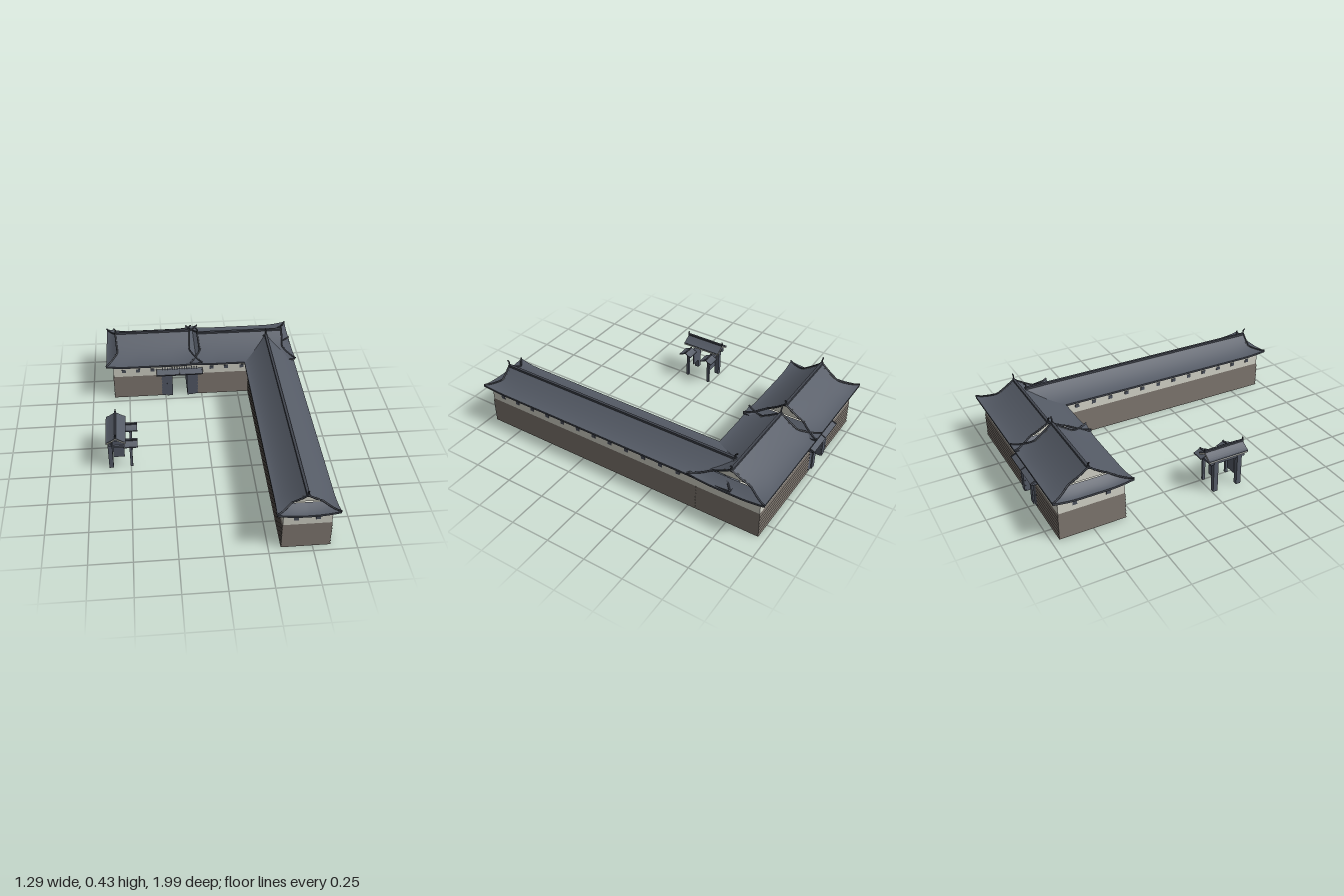
import * as THREE from 'three';

const mat = (name, color) => {
  const m = new THREE.MeshStandardMaterial({ color, side: THREE.DoubleSide });
  m.name = name;
  return m;
};

export function createModel() {
  const root = new THREE.Group();
  root.name = 'castleGatehouse';
  const tile = mat('roofTile', 0x555b66);
  const ridgeMat = mat('ridgeTile', 0x41454e);
  const plaster = mat('plaster', 0xd6d6cb);
  const board = mat('wallBoards', 0x777069);
  const timber = mat('darkTimber', 0x565c69);
  const dark = mat('windowDark', 0x4c515c);

  const add = (parent, name, geo, m, x = 0, y = 0, z = 0) => {
    const mesh = new THREE.Mesh(geo, m);
    mesh.name = name;
    mesh.position.set(x, y, z);
    parent.add(mesh);
    return mesh;
  };
  // Box given by its extents
  const box = (parent, name, m, x0, x1, y0, y1, z0, z1) =>
    add(parent, name, new THREE.BoxGeometry(x1 - x0, y1 - y0, z1 - z0), m,
      (x0 + x1) / 2, (y0 + y1) / 2, (z0 + z1) / 2);
  const group = (name, parent = root) => {
    const g = new THREE.Group();
    g.name = name;
    parent.add(g);
    return g;
  };
  // Surface from a rule f(i, j) -> [x, y, z]
  const grid = (f, nu, nv, flat = false) => {
    const pos = [], idx = [];
    for (let j = 0; j <= nv; j++) for (let i = 0; i <= nu; i++) pos.push(...f(i, j));
    for (let j = 0; j < nv; j++) for (let i = 0; i < nu; i++) {
      const a = j * (nu + 1) + i, b = a + 1, c = a + nu + 1, d = c + 1;
      idx.push(a, b, d, a, d, c);
    }
    let g = new THREE.BufferGeometry();
    g.setAttribute('position', new THREE.Float32BufferAttribute(pos, 3));
    g.setIndex(idx);
    if (flat) g = g.toNonIndexed();
    g.computeVertexNormals();
    return g;
  };
  const tube = (pts, r, n = 14) => new THREE.TubeGeometry(
    new THREE.CatmullRomCurve3(pts.map(p => new THREE.Vector3(...p))), n, r, 6);

  // Hip-and-gable roof, ridge along local x, centred on the origin
  const hipGableRoof = (name, { Le, Lr, W, ridge, eave, finial }) => {
    const g = group(name), tg = 0.52, thick = 0.013;
    const L = t => t < tg ? Lr + 0.01 * (1 - t / tg) : Lr + (Le - Lr) * (t - tg) / (1 - tg);
    const h = t => eave + (ridge - eave) * Math.pow(1 - t, 1.5);
    const near = d => Math.pow(Math.max(0, 1 - d / 0.17), 2);
    // s runs along the slope from end to end, t from ridge to eave
    const slope = (s, t, side) => {
      const c = near(L(t) * (1 - Math.abs(s))) * Math.pow(t, 4);
      return [s * L(t), h(t) + 0.017 * c, side * (W * t + 0.007 * (c - 1) * t)];
    };
    const skirt = (u, t, end) => {
      const c = near(W * t * (1 - Math.abs(u))) * Math.pow(t, 4);
      const corner = slope(1, t, 1);
      return [end * L(t), h(t) + 0.017 * c, u * corner[2]];
    };
    const drop = (p, d) => [p[0], p[1] - d, p[2]];
    const N = 32, M = 12;
    for (const k of [1, -1]) {
      add(g, 'roofSlope', grid((i, j) => slope(2 * i / N - 1, j / M, k), N, M), tile);
      add(g, 'roofSkirt', grid((i, j) => skirt(2 * i / N - 1, tg + (1 - tg) * j / 6, k), N, 6), tile);
      add(g, 'slopeSoffit', grid((i, j) => drop(slope(2 * i / N - 1, 0.7 + 0.3 * j / 4, k), thick), N, 4), plaster);
      add(g, 'skirtSoffit', grid((i, j) => drop(skirt(2 * i / N - 1, 0.7 + 0.3 * j / 4, k), thick), N, 4), plaster);
      add(g, 'slopeFascia', grid((i, j) => drop(slope(2 * i / N - 1, 1, k), j * thick), N, 1), ridgeMat);
      add(g, 'skirtFascia', grid((i, j) => drop(skirt(2 * i / N - 1, 1, k), j * thick), N, 1), ridgeMat);
      // Plastered gable, set back under the verge
      add(g, 'gable', grid((i, j) => {
        const u = 2 * i / 16 - 1, base = h(tg);
        return [k * (Lr - 0.008), base + (h(Math.abs(u) * tg) - base) * j, u * tg * W];
      }, 16, 1), plaster);
      for (const q of [1, -1]) {
        const path = [];
        for (let i = 0; i <= 10; i++) path.push(drop(slope(k, i / 10, q), -0.002));
        add(g, 'hipRidge', tube(path, 0.0055, 20), ridgeMat);
      }
      // Curled ridge-end ornament
      const x = Lr + 0.008;
      add(g, 'ridgeFinial', tube([[k * (x - 0.012), ridge, 0], [k * x, ridge + finial * 0.35, 0],
        [k * (x - 0.001), ridge + finial * 0.65, 0], [k * (x + 0.013), ridge + finial, 0]], 0.0045), ridgeMat);
    }
    box(g, 'mainRidge', ridgeMat, -Lr - 0.012, Lr + 0.012, ridge - 0.01, ridge + 0.008, -0.008, 0.008);
    return g;
  };
  hipGableRoof('leftBlockRoof', { Le: 0.322, Lr: 0.245, W: 0.24, ridge: 0.394, eave: 0.266, finial: 0.037 })
    .position.set(-0.322, 0, -0.75);
  hipGableRoof('rightBlockRoof', { Le: 0.358, Lr: 0.285, W: 0.24, ridge: 0.367, eave: 0.264, finial: 0.037 })
    .position.set(0.28, 0, -0.75);
  const wingRoof = hipGableRoof('wingRoof', { Le: 0.885, Lr: 0.81, W: 0.176, ridge: 0.35, eave: 0.263, finial: 0.037 });
  wingRoof.rotation.y = Math.PI / 2;
  wingRoof.position.set(0.46, 0, 0.105);

  // Lapped boards around a rectangle, open below, with a board ceiling
  const walls = group('walls');
  const lapped = (name, x0, x1, z0, z1) => {
    add(walls, name, grid((i, j) => {
      const y = 0.168 * Math.floor((j + 1) / 2) / 7, o = j % 2 ? 0 : 0.004;
      const sx = [-1, 1, 1, -1][i % 4], sz = [1, 1, -1, -1][i % 4];
      return [(sx < 0 ? x0 : x1) + sx * o, y, (sz < 0 ? z0 : z1) + sz * o];
    }, 4, 13, true), board);
    box(walls, name + 'Ceiling', board, x0 + 0.001, x1 - 0.001, 0.16, 0.167, z0 + 0.001, z1 - 0.001);
  };
  lapped('leftBoards', -0.6, -0.275, -0.95, -0.55);
  lapped('rightBoards', -0.025, 0.6, -0.95, -0.55);
  lapped('wingBoards', 0.325, 0.6, -0.545, 0.955);
  box(walls, 'mainPlaster', plaster, -0.6, 0.6, 0.168, 0.261, -0.95, -0.55);
  box(walls, 'wingPlaster', plaster, 0.325, 0.6, 0.168, 0.259, -0.6, 0.955);

  // Small square windows
  const windows = group('windows');
  const win = (x, z, alongX) => add(windows, 'window',
    new THREE.BoxGeometry(alongX ? 0.027 : 0.006, 0.023, alongX ? 0.006 : 0.027), dark, x, 0.212, z);
  for (const x of [-0.53, -0.434, -0.335, 0.07, 0.17, 0.275]) win(x, -0.55, true);
  for (const x of [-0.53, -0.434, -0.335, 0.07, 0.17, 0.275, 0.395, 0.52]) win(x, -0.95, true);
  for (const x of [0.397, 0.52]) win(x, 0.955, true);
  for (const z of [-0.85, -0.65]) win(-0.6, z, false);
  for (let i = 0; i < 12; i++) {
    const z = 0.87 - 0.118 * i;
    win(0.6, z, false);
    win(0.325, z, false);
  }

  // Gate passage with hoods on both faces
  const gate = group('mainGate');
  for (const [a, b] of [[-0.275, -0.2], [-0.1, -0.025]]) {
    box(gate, 'gateJamb', timber, a, b, 0, 0.168, -0.953, -0.547);
    for (const z of [-0.953, -0.547]) {
      const x = a < -0.2 ? a + 0.055 : b - 0.055;
      box(gate, 'gatePost', timber, x - 0.018, x + 0.018, 0, 0.168, z - 0.008, z + 0.008);
    }
  }
  for (const k of [1, -1]) {
    const hood = group('gateHood', gate);
    hood.position.set(-0.151, 0, -0.75 + k * 0.2);
    const slab = add(hood, 'hoodRoof', new THREE.BoxGeometry(0.316, 0.009, 0.046), tile, 0, 0.198, k * 0.019);
    slab.rotation.x = k * 0.45;
    box(hood, 'hoodBeam', timber, -0.148, 0.148, 0.174, 0.189, k * 0.014 - 0.014, k * 0.014 + 0.014);
    for (const x of [-0.155, 0, 0.155]) {
      const rib = add(hood, 'hoodRib', new THREE.BoxGeometry(0.007, 0.008, 0.048), ridgeMat, x, 0.203, k * 0.019);
      rib.rotation.x = k * 0.45;
    }
    for (let i = 0; i < 15; i++) {
      const x = -0.115 + i * 0.0165;
      box(hood, 'latticeBar', dark, x - 0.0035, x + 0.0035, 0.205, 0.227, -0.004, 0.004);
    }
  }

  // Free-standing small gate
  const small = group('smallGate');
  // Curved gable roof profile, ridge along z
  const gableRoof = (w, hgt, th, depth) => {
    const s = new THREE.Shape(), n = 6, up = u => hgt * Math.pow(1 - Math.abs(u), 1.3);
    for (let i = -n; i <= n; i++) s[i === -n ? 'moveTo' : 'lineTo'](w * i / n, up(i / n));
    for (let i = n; i >= -n; i--) s.lineTo(w * i / n, up(i / n) - th);
    return new THREE.ExtrudeGeometry(s, { depth, bevelEnabled: false }).translate(0, 0, -depth / 2);
  };
  add(small, 'gateRoof', gableRoof(0.061, 0.035, 0.006, 0.262), tile, -0.584, 0.228, 0.103);
  add(small, 'gateRoofLining', gableRoof(0.06, 0.035, 0.008, 0.264), plaster, -0.584, 0.222, 0.103);
  box(small, 'gateRidge', ridgeMat, -0.59, -0.578, 0.257, 0.27, -0.03, 0.236);
  for (const [z, k] of [[-0.022, -1], [0.228, 1]])
    add(small, 'gateFinial', tube([[-0.584, 0.262, z], [-0.584, 0.274, z + k * 0.006], [-0.584, 0.285, z + k * 0.004]], 0.004, 8), ridgeMat);
  box(small, 'gateLintel', timber, -0.632, -0.612, 0.19, 0.21, -0.015, 0.22);
  box(small, 'gateRidgeBeam', timber, -0.592, -0.576, 0.225, 0.24, -0.015, 0.22);
  for (const z of [0.023, 0.183]) {
    box(small, 'mainPost', timber, -0.636, -0.609, 0, 0.217, z - 0.015, z + 0.015);
    box(small, 'rearPost', timber, -0.504, -0.488, 0, 0.175, z - 0.008, z + 0.008);
    box(small, 'tieBeam', timber, -0.61, -0.488, 0.15, 0.162, z - 0.006, z + 0.006);
    box(small, 'crossArm', timber, -0.636, -0.535, 0.208, 0.22, z - 0.007, z + 0.007);
    const inner = z < 0.1 ? z + 0.015 : z - 0.015;
    box(small, 'openDoor', timber, -0.606, -0.537, 0.064, 0.19, inner - 0.004, inner + 0.004);
    // Low side roof over the rear post
    const r = add(small, 'sideRoof', gableRoof(0.043, 0.02, 0.007, 0.082), tile, -0.493, 0.18, z);
    r.rotation.y = Math.PI / 2;
    box(small, 'sideRidge', ridgeMat, -0.535, -0.451, 0.196, 0.204, z - 0.004, z + 0.004);
  }
  return root;
}
